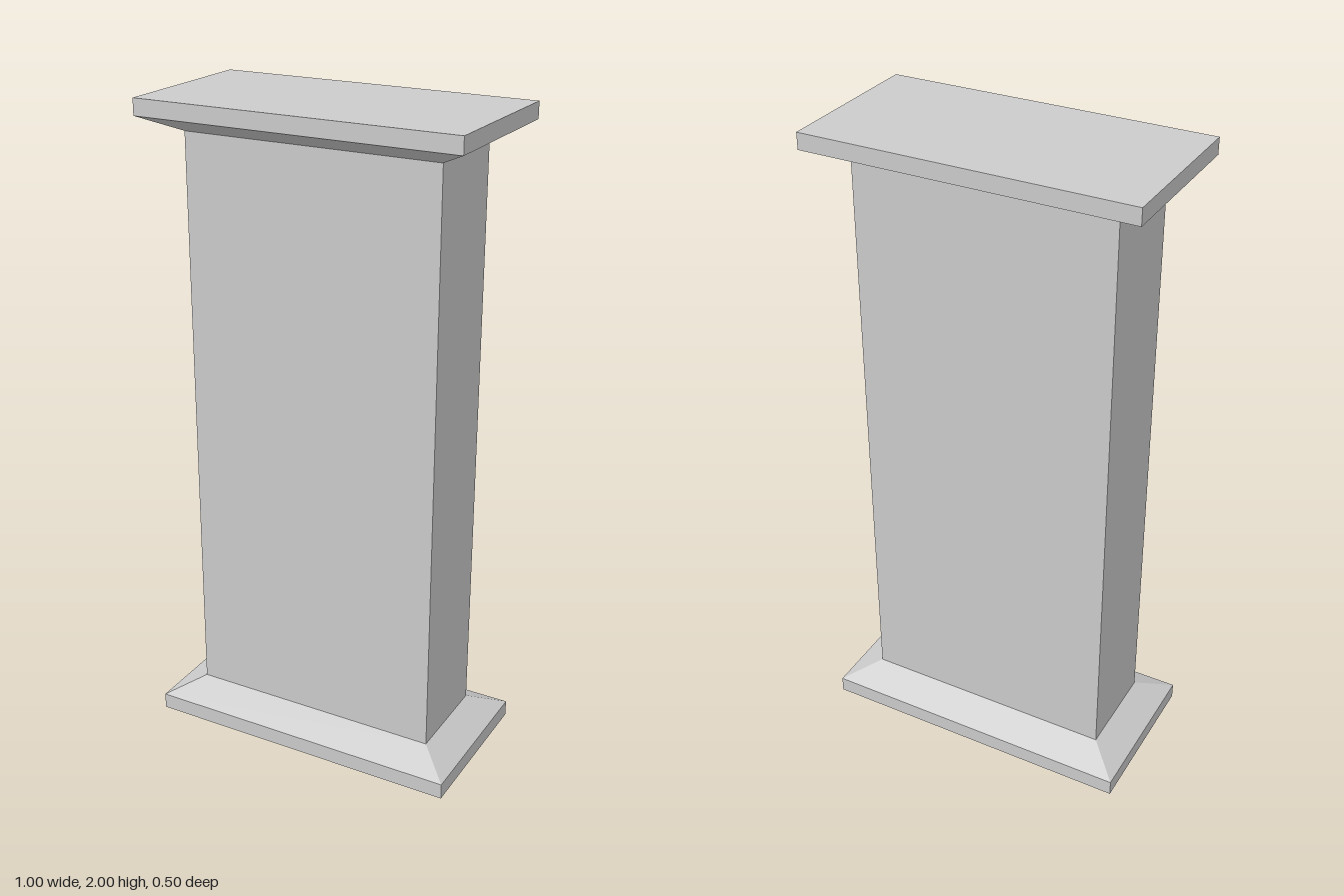
import * as THREE from 'three';

const material = new THREE.MeshStandardMaterial({ color: 0xcccccc, flatShading: true });

// Rectangular rings [halfWidth, y, halfDepth], listed upwards and joined by flat sides
function loft(name, rings, { bottom = false, top = false } = {}) {
  const loops = rings.map(([w, y, d]) => [[w, y, d], [w, y, -d], [-w, y, -d], [-w, y, d]]);
  const positions = [];
  const quad = (a, b, c, d) => positions.push(...a, ...b, ...c, ...a, ...c, ...d);

  for (let r = 0; r < loops.length - 1; r++) {
    const lower = loops[r], upper = loops[r + 1];
    for (let i = 0; i < 4; i++) {
      const j = (i + 1) % 4;
      quad(lower[i], lower[j], upper[j], upper[i]);
    }
  }
  if (bottom) quad(...[...loops[0]].reverse());
  if (top) quad(...loops[loops.length - 1]);

  const geometry = new THREE.BufferGeometry();
  geometry.setAttribute('position', new THREE.Float32BufferAttribute(positions, 3));
  geometry.computeVertexNormals();
  const mesh = new THREE.Mesh(geometry, material);
  mesh.name = name;
  return mesh;
}

export function createModel() {
  const height = 2, slab = 0.05, moulding = 0.1;
  const shaft = { w: 0.4, d: 0.15 }, plate = { w: 0.5, d: 0.25 };

  // Plinth profile: upright slab edge, then a slope in to the shaft
  const plinth = [
    [plate.w, 0, plate.d],
    [plate.w, slab, plate.d],
    [shaft.w, moulding, shaft.d],
  ];
  // The capital is the plinth turned upside down
  const capital = plinth.map(([w, y, d]) => [w, height - y, d]).reverse();

  const model = new THREE.Group();
  model.name = 'pillar';
  model.add(
    loft('base', plinth, { bottom: true }),
    loft('shaft', [
      [shaft.w, moulding, shaft.d],
      [shaft.w, height - moulding, shaft.d],
    ]),
    loft('capital', capital, { top: true }),
  );
  return model;
}
